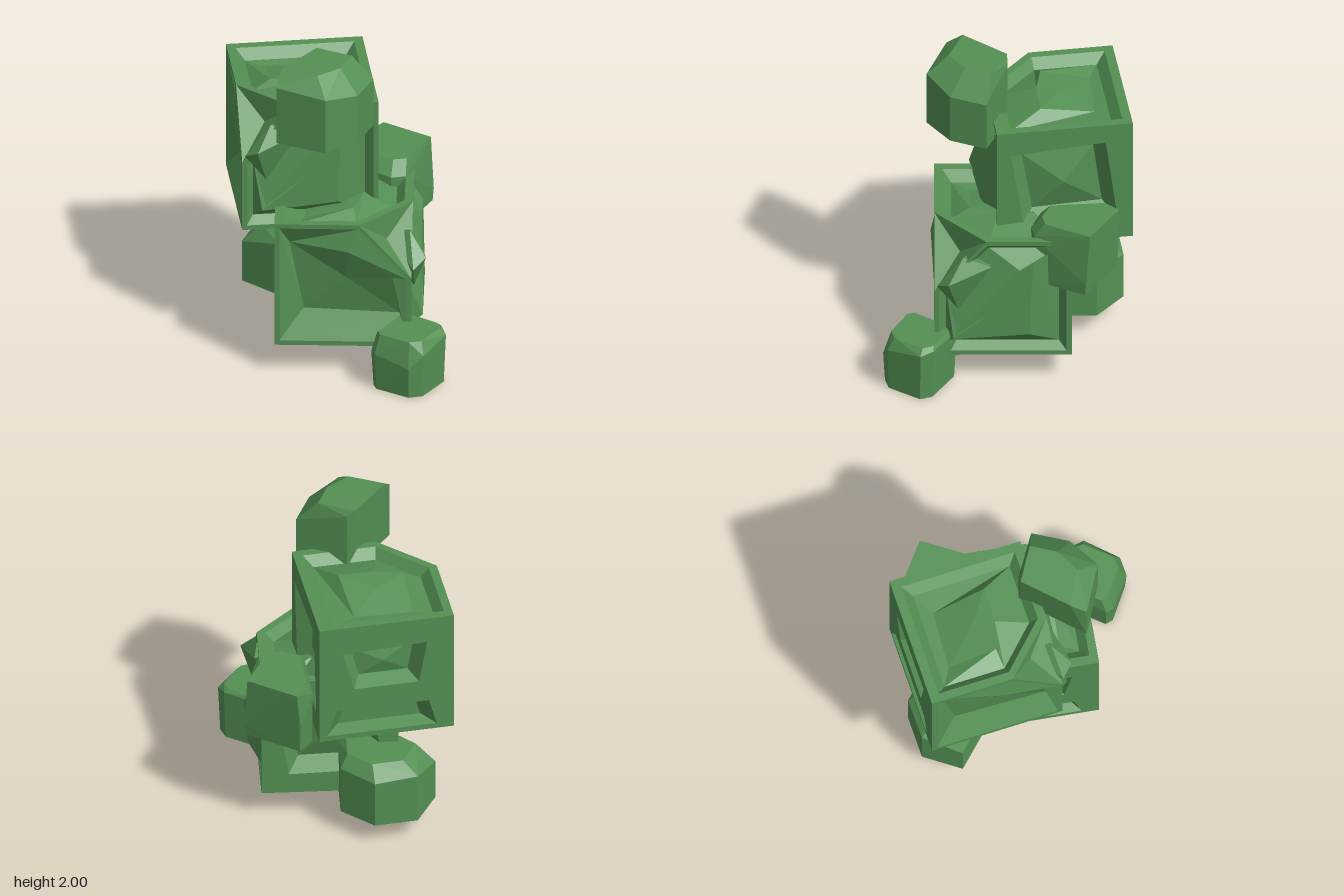
import * as THREE from 'three';
import { ConvexGeometry } from 'three/addons/geometries/ConvexGeometry.js';

const H = 0.415; // half side of a carved block
const V = (x, y, z) => new THREE.Vector3(x, y, z);

// Faces of the block: rightward axis and upward axis seen from outside
const AXES = {
  front: [V(1, 0, 0), V(0, 1, 0)],
  back: [V(-1, 0, 0), V(0, 1, 0)],
  left: [V(0, 0, -1), V(0, 1, 0)],
  right: [V(0, 0, 1), V(0, 1, 0)],
  top: [V(1, 0, 0), V(0, 0, -1)],
  bottom: [V(1, 0, 0), V(0, 0, 1)],
};

// Corners left on the three edges by the cut across the front left top corner
const CUT = [V(0.1, H, H), V(H, 0.05, H), V(H, H, 0.1)];

function centroid(ring) {
  const sum = ring.reduce((s, [a, b]) => [s[0] + a, s[1] + b], [0, 0]);
  return sum.map((c) => c / ring.length);
}

// A copy of a ring drawn in towards its middle, at another depth
function shrink(ring, scale, depth = 0) {
  const [cu, cv] = centroid(ring);
  return ring.map(([a, b]) => [cu + (a - cu) * scale, cv + (b - cv) * scale, depth]);
}

const rect = (u0, v0, u1, v1) => [[u0, v0, 0], [u1, v0, 0], [u1, v1, 0], [u0, v1, 0]];

// Full face outline; a face touching the cut has that corner replaced by two points
function outline(face) {
  const [u, v] = AXES[face];
  const n = u.clone().cross(v);
  const cut = CUT.filter((p) => p.dot(n) === H)
    .map((p) => [p.dot(u), p.dot(v), 0])
    .sort((a, b) => Math.atan2(a[1], a[0]) - Math.atan2(b[1], b[0]));
  if (cut.length < 2) return rect(-H, -H, H, H);
  const [su, sv] = centroid(cut).map(Math.sign);
  return rect(-H, -H, H, H).flatMap((p) => (p[0] * su > 0 && p[1] * sv > 0 ? cut : [p]));
}

function carvedBlockGeometry() {
  const pos = [];
  const tri = (...pts) => pts.forEach((p) => pos.push(p.x, p.y, p.z));

  // Joins nested rings of (u, v, depth) from the edge inward and closes the middle
  function carve(face, rings, centreDepth) {
    const [u, v] = AXES[face];
    const n = u.clone().cross(v);
    const place = ([a, b, d]) => V(0, 0, 0).addScaledVector(u, a).addScaledVector(v, b).addScaledVector(n, H + d);
    const loops = rings.map((r) => r.map(place));
    const centre = place([...centroid(rings.at(-1)), centreDepth]);
    loops.forEach((loop, k) => loop.forEach((p, i) => {
      const j = (i + 1) % loop.length;
      const inner = loops[k + 1];
      if (!inner) return tri(p, loop[j], centre);
      tri(p, loop[j], inner[j]);
      tri(p, inner[j], inner[i]);
    }));
  }

  // Front: sloping hollow with a spur near the cut corner
  const front = outline('front');
  const hollowFloor = [[-0.24, -0.21, -0.1], [0.34, -0.23, -0.09], [0.3, 0.05, -0.01], [0.03, 0.24, 0.022], [-0.325, 0.265, -0.06]];
  carve('front', [front, shrink(front, 0.93), hollowFloor], -0.06);

  // Left: raised three-sided slab in a groove
  const left = outline('left');
  const slab = [[-0.3, -0.255, 0.065], [0.16, -0.22, 0.065], [0.18, 0.28, 0.055], [0.1, 0.24, 0.05], [-0.28, -0.22, 0.055]];
  carve('left', [left, shrink(left, 0.93), shrink(left, 0.82, -0.05), slab], 0.06);

  // Top: sunken bowl with a low ridge
  const top = outline('top');
  const ridge = [[-0.24, -0.2, -0.07], [0.06, -0.2, 0.007], [0.11, -0.03, 0.007], [0.115, 0.19, 0.007], [-0.22, 0.16, -0.07]];
  carve('top', [top, shrink(top, 0.87), shrink(top, 0.74, -0.06), ridge], -0.01);

  // Back: one large pocket
  const backRim = [[-0.25, -0.28, 0], [0.32, -0.26, 0], [0.25, 0.29, 0], [-0.33, 0.25, 0]];
  carve('back', [outline('back'), backRim, shrink(backRim, 0.75, -0.1)], -0.04);

  // Right: pocket above a slot
  const pocket = [[-0.2, -0.05, 0], [0.2, -0.05, 0], [0.25, 0.24, 0], [-0.27, 0.22, 0]];
  const slot = [[-0.37, -0.38, 0], [0.31, -0.38, 0], [0.26, -0.2, 0], [-0.31, -0.2, 0]];
  carve('right', [rect(-H, -0.14, H, H), pocket, shrink(pocket, 0.75, -0.1)], -0.07);
  carve('right', [rect(-H, -H, H, -0.14), slot, shrink(slot, 0.75, -0.09)], -0.09);

  // Bottom: groove around a low plateau
  const bottom = outline('bottom');
  carve('bottom', [bottom, shrink(bottom, 0.83), shrink(bottom, 0.68, -0.06), shrink(bottom, 0.46, 0.02)], 0.022);

  // Hollowed cut corner
  CUT.forEach((p, i) => tri(p, CUT[(i + 1) % 3], V(0.26, 0.24, 0.26)));

  const g = new THREE.BufferGeometry();
  g.setAttribute('position', new THREE.Float32BufferAttribute(pos, 3));
  g.computeVertexNormals();
  return g;
}

// Small boulder: sides follow [x, z, shoulder height], the flat crown is the shrunk and shifted outline
function boulderGeometry(sides, y0, y1, crownScale, [dx, dz], taper = 1) {
  const crown = shrink(sides, crownScale).map(([x, z]) => V(x + dx, y1, z + dz));
  const foot = shrink(sides, taper).map(([x, z]) => V(x, y0, z));
  const shoulder = sides.map(([x, z, y]) => V(x, y, z));
  return new ConvexGeometry([...crown, ...shoulder, ...foot]);
}

export function createModel() {
  const model = new THREE.Group();
  model.name = 'rockStack';
  const green = new THREE.MeshStandardMaterial({ color: 0x549054 });
  green.name = 'mossGreen';

  const add = (parent, name, geometry) => {
    const mesh = new THREE.Mesh(geometry, green);
    mesh.name = name;
    parent.add(mesh);
  };

  // Two identical carved blocks, the upper one turned
  const block = carvedBlockGeometry();
  const shard = new ConvexGeometry([
    V(0.5, 0.15, 0.33), V(0.425, -0.07, 0.27), V(0.43, 0.24, 0.07), V(0.4, 0.29, 0.24),
    V(0.425, 0.1, 0.4), V(0.25, 0.25, 0.15), V(0.28, 0, 0.25),
  ]);
  const addBlock = (name, at, turn) => {
    const g = new THREE.Group();
    g.name = name;
    g.position.copy(at);
    g.rotation.y = turn;
    add(g, 'carvedBlock', block);
    add(g, 'cornerShard', shard);
    model.add(g);
  };
  addBlock('lowerBlock', V(0.055, 0.605, 0.03), 0);
  addBlock('upperBlock', V(-0.21, 1.25, -0.285), -1.426);

  // Boulders around the blocks
  add(model, 'topBoulder', boulderGeometry(
    [[-0.07, 0, 1.96], [0.23, 0.13, 1.86], [0.14, 0.35, 1.86], [-0.05, 0.49, 1.9], [-0.35, 0.37, 1.92]],
    1.54, 2, 0.72, [-0.06, -0.07]));
  add(model, 'backBoulder', boulderGeometry(
    [[-0.58, -0.43, 0.42], [-0.35, -0.25, 0.5], [0, -0.3, 0.5], [0, -0.54, 0.47], [-0.2, -0.7, 0.46], [-0.46, -0.66, 0.48]],
    0.15, 0.545, 0.72, [0.03, 0.03]));
  add(model, 'sideBoulder', boulderGeometry(
    [[0.25, -0.67, 0.9], [0.58, -0.47, 0.78], [0.47, -0.25, 0.95], [0.42, -0.16, 1.03], [0.33, -0.14, 1.03], [0.2, -0.2, 1.05], [0.17, -0.57, 1.06]],
    0.7, 1.12, 0.88, [0.01, -0.04], 0.97));
  add(model, 'frontBoulder', boulderGeometry(
    [[0.42, 0.31, 0.33], [0.65, 0.45, 0.34], [0.68, 0.53, 0.32], [0.55, 0.73, 0.28], [0.46, 0.755, 0.2], [0.25, 0.64, 0.24], [0.23, 0.59, 0.24]],
    0, 0.36, 0.84, [0, -0.02], 0.94));
  return model;
}
